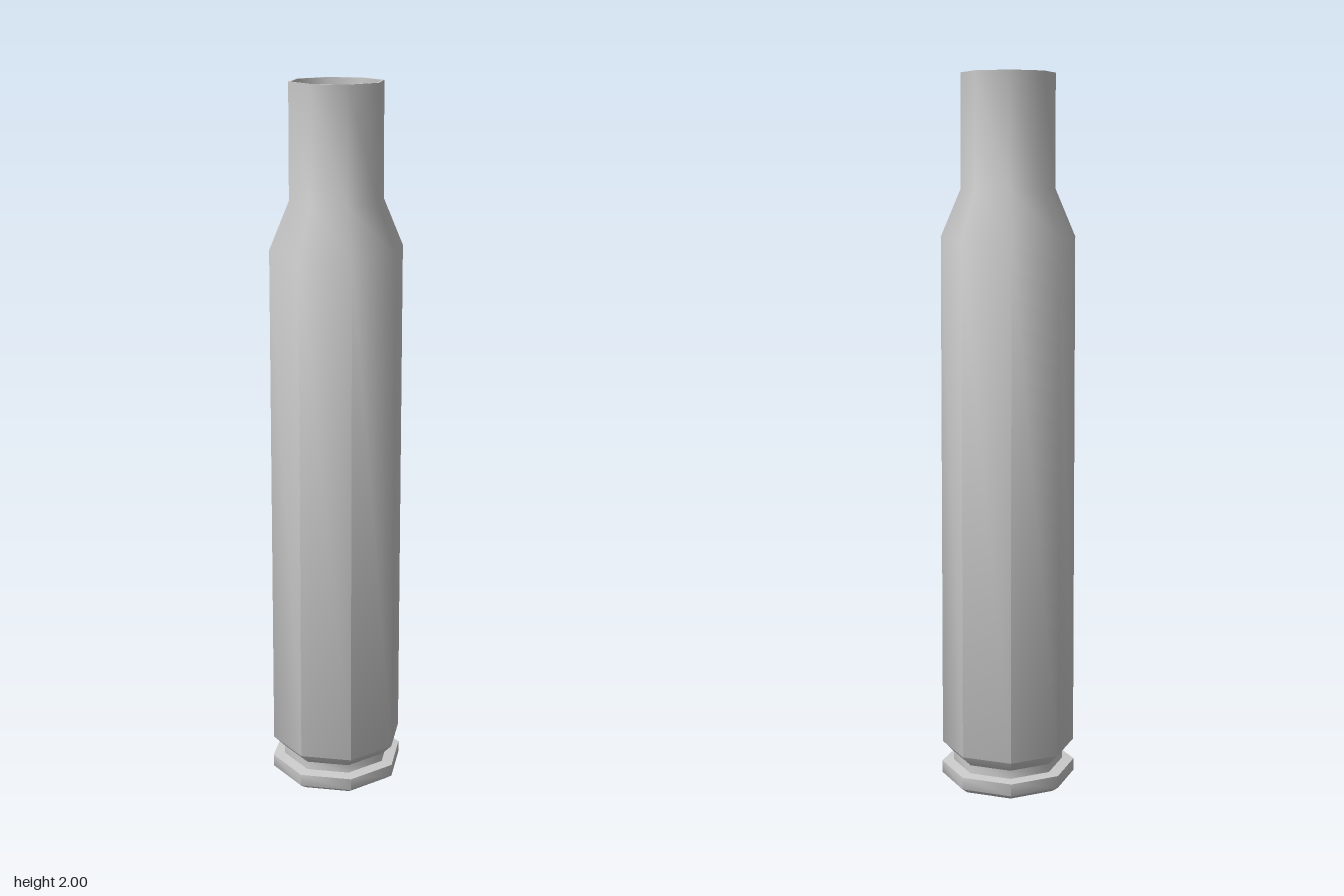
import * as THREE from 'three';
import { toCreasedNormals } from 'three/addons/utils/BufferGeometryUtils.js';

const SIDES = 8;

// Turn a [radius, height] profile into an eight-sided body with soft sides and sharp rims
function turned(name, profile) {
  const points = profile.map(([r, y]) => new THREE.Vector2(r, y));
  const geometry = toCreasedNormals(new THREE.LatheGeometry(points, SIDES), 0.95);
  const material = new THREE.MeshStandardMaterial({ color: 0xcccccc, side: THREE.DoubleSide });
  const mesh = new THREE.Mesh(geometry, material);
  mesh.name = name;
  return mesh;
}

export function createModel() {
  const group = new THREE.Group();
  group.name = 'cartridgeCase';

  // Base disc with bevelled rim and the extractor groove above it
  group.add(turned('baseRim', [
    [0, 0], [0.17, 0], [0.191, 0.015], [0.191, 0.05],
    [0.157, 0.053], [0.157, 0.077],
  ]));

  // Tapered body, shoulder and neck
  group.add(turned('bodyAndNeck', [
    [0.157, 0.077], [0.189, 0.11], [0.185, 1.56], [0.13, 1.69], [0.129, 2],
  ]));

  // Mouth lip
  group.add(turned('mouthLip', [[0.129, 2], [0.123, 2]]));

  // Hollow interior, from the mouth down to the floor
  group.add(turned('innerWall', [
    [0.123, 2], [0.123, 1.69], [0.178, 1.555], [0.181, 0.13], [0.15, 0.09], [0, 0.08],
  ]));

  return group;
}
